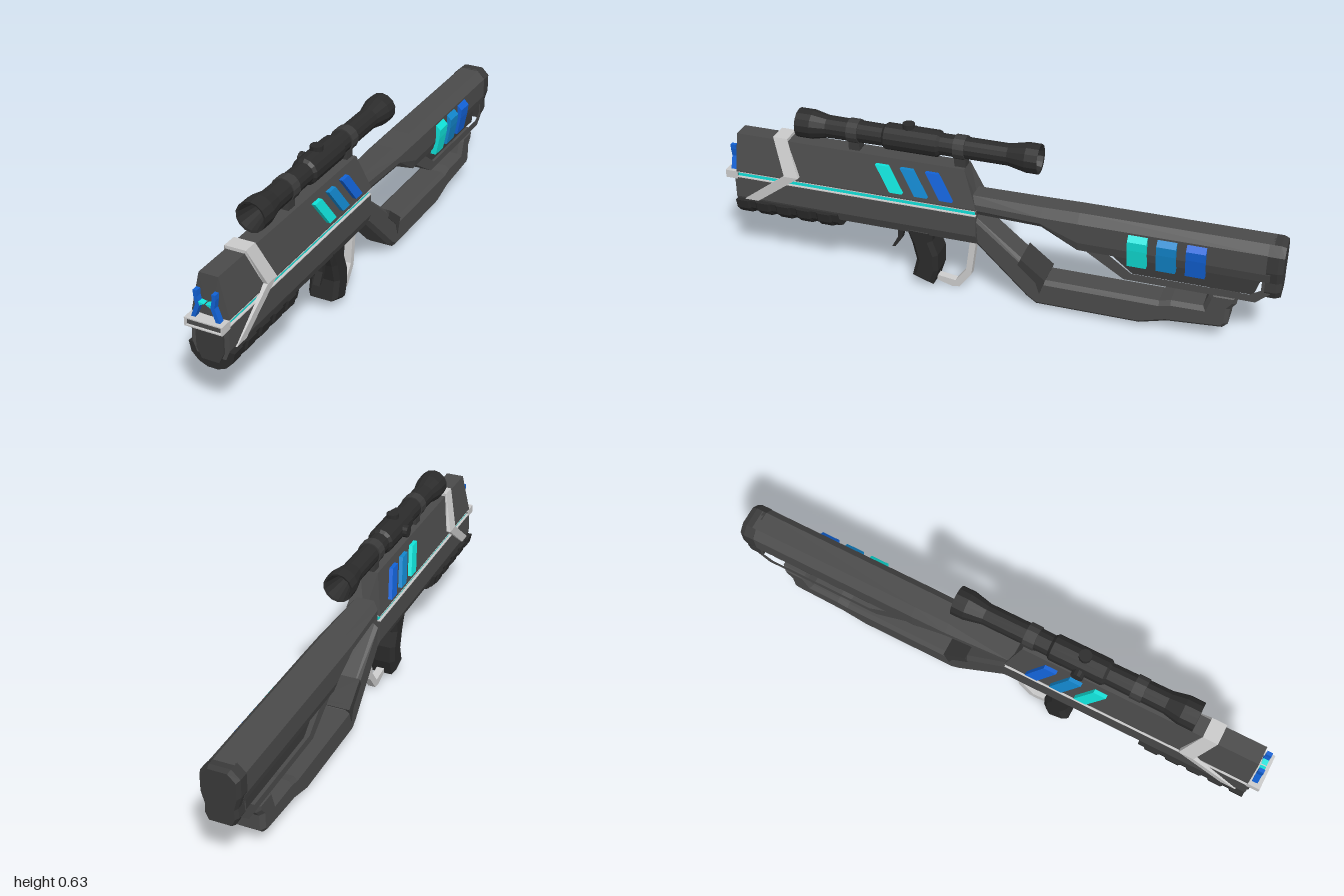
import * as THREE from 'three';

const mat = (color) => new THREE.MeshStandardMaterial({ color, flatShading: true });

export function createModel() {
  const model = new THREE.Group();
  const grey = mat(0xcccccc), body = mat(0x4b4b4b), dark = mat(0x3a3a3a), black = mat(0x2b2b2b), lens = mat(0x1c1c1c);
  const cyan = mat(0x10e2da), mid = mat(0x1286cc), blue = mat(0x1262d6);
  const accents = [cyan, mid, blue];

  const add = (name, geometry, material) => {
    const mesh = new THREE.Mesh(geometry, material);
    mesh.name = name;
    model.add(mesh);
    return mesh;
  };
  const box = (name, w, h, d, x, y, z, m) => add(name, new THREE.BoxGeometry(w, h, d).translate(x, y, z), m);
  const toShape = (pts) => new THREE.Shape(pts.map(([a, b]) => new THREE.Vector2(a, b)));

  // Side outline of [z, y] points, extruded across x with bevelled edges
  const side = (name, pts, half, m, { x = 0, bevel = 0, hole } = {}) => {
    const shape = toShape(pts);
    if (hole) shape.holes.push(toShape(hole));
    const g = new THREE.ExtrudeGeometry(shape, {
      depth: 2 * (half - bevel), bevelEnabled: bevel > 0, bevelSize: bevel,
      bevelThickness: bevel, bevelOffset: -bevel, bevelSegments: 1,
    });
    return add(name, g.translate(0, 0, bevel - half).rotateY(-Math.PI / 2).translate(x, 0, 0), m);
  };

  // Skin over rings of equal length, with end caps; winding is turned outward
  const loft = (name, rings, m) => {
    const tris = [], n = rings[0].length;
    for (let i = 0; i < rings.length - 1; i++) {
      for (let j = 0; j < n; j++) {
        const k = (j + 1) % n, a = rings[i], b = rings[i + 1];
        tris.push([a[j], a[k], b[k]], [a[j], b[k], b[j]]);
      }
    }
    const cap = (ring, flip) => {
      const c = ring.reduce((s, p) => s.add(p), new THREE.Vector3()).divideScalar(n);
      ring.forEach((p, j) => {
        const q = ring[(j + 1) % n];
        tris.push(flip ? [c, q, p] : [c, p, q]);
      });
    };
    cap(rings[0], true);
    cap(rings[rings.length - 1], false);
    const volume = tris.reduce((s, [a, b, c]) => s + a.dot(b.clone().cross(c)), 0);
    if (volume < 0) tris.forEach((t) => t.reverse());
    const g = new THREE.BufferGeometry().setFromPoints(tris.flat());
    g.computeVertexNormals();
    return add(name, g, m);
  };
  // Symmetric ring from a half section of [x, y] points; z is a number or a rule of y
  const ring = (half, z) => {
    const at = ([x, y]) => new THREE.Vector3(x, y, typeof z === 'function' ? z(y) : z);
    return [...half.map(at), ...half.map(([x, y]) => at([-x, y])).reverse()];
  };

  // Receiver with a light channel along each side
  const receiver = [[0.033, 0.505], [0.064, 0.372], [0.064, 0.366], [0.053, 0.366],
    [0.053, 0.344], [0.064, 0.344], [0.065, 0.265], [0.05, 0.228]];
  loft('receiver', [
    ring(receiver, (y) => (y > 0.4 ? 0.1 : 0.05)),
    ring(receiver, (y) => (y > 0.35 ? 0.957 : 0.965)),
  ], body);
  box('lightStrip', 0.112, 0.02, 0.9, 0, 0.355, 0.505, cyan);
  for (const s of [-1, 1]) {
    for (const y of [0.345, 0.365]) box('channelEdge', 0.012, 0.003, 0.905, s * 0.059, y, 0.503, grey);
  }

  // Sloping accent bars on both flanks
  const flank = (y) => 0.033 + (0.505 - y) * 0.233;
  accents.forEach((m, i) => {
    for (const s of [-1, 1]) {
      const bar = (y, z) => [[-0.006, 0], [0.014, 0], [0.014, -0.046], [-0.006, -0.046]]
        .map(([dx, dz]) => new THREE.Vector3(s * (flank(y) + dx), y, z + dz - i * 0.092));
      loft('accentBar', [bar(0.48, 0.42), bar(0.39, 0.362)], m);
    }
  });

  // Bent strap wrapped over the nose: [x, y, z centre]
  const strapHalf = [[0.069, 0.26, 0.905], [0.078, 0.385, 0.735], [0.037, 0.516, 0.785]];
  const strapPath = [...strapHalf, ...strapHalf.map(([x, y, z]) => [-x, y, z]).reverse()];
  loft('noseStrap', strapPath.map(([x, y, z]) => [[1, 0.027], [1, -0.027], [0.8, -0.027], [0.8, 0.027]]
    .map(([k, dz]) => new THREE.Vector3(x * k, y > 0.5 ? y - (1 - k) * 0.08 : y, z + dz))), grey);

  // Muzzle plate frame with inset
  const frame = toShape([[-0.065, 0.337], [0.065, 0.337], [0.065, 0.366], [-0.065, 0.366]]);
  frame.holes.push(toShape([[-0.06, 0.341], [0.06, 0.341], [0.06, 0.362], [-0.06, 0.362]]));
  add('muzzleFrame', new THREE.ExtrudeGeometry(frame, { depth: 0.045, bevelEnabled: false }).translate(0, 0, 0.955), grey);
  box('muzzleInset', 0.122, 0.023, 0.035, 0, 0.3515, 0.975, body);
  const nose = [[0.047, 0.325], [0.047, 0.25], [0.03, 0.215]];
  loft('lowerNose', [ring(nose, 0.93), ring(nose, 0.972)], dark);

  // Muzzle prongs and sparks
  for (const s of [-1, 1]) {
    const flat = (name, pts, m) => add(name, new THREE.ExtrudeGeometry(
      toShape(pts.map(([x, y]) => [s * x, y])), { depth: 0.02, bevelEnabled: false }).translate(0, 0, 0.965), m);
    flat('muzzleProng', [[0.036, 0.364], [0.05, 0.364], [0.033, 0.412], [0.038, 0.442],
      [0.038, 0.459], [0.025, 0.459], [0.025, 0.438], [0.019, 0.41]], blue);
    flat('muzzleSpark', [[0.002, 0.419], [0.022, 0.422], [0.019, 0.41]], cyan);
  }

  // Ribbed foregrip
  const under = [[0.08, 0.257], [0.072, 0.222], [0.048, 0.196], [0.018, 0.183]];
  const ribs = [];
  for (let i = 0; i < 5; i++) {
    for (const [dz, k] of [[0, 0.92], [0.022, 0.92], [0.028, 1], [0.073, 1]]) {
      ribs.push(ring(under.map(([x, y]) => [x * k, 0.257 + (y - 0.257) * k]), 0.57 + i * 0.08 + dz));
    }
  }
  loft('foregrip', ribs, black);

  // Pistol grip, trigger and guard
  side('pistolGrip', [[0.32, 0.25], [0.295, 0.18], [0.28, 0.115], [0.298, 0.045], [0.22, 0.018],
    [0.2, 0.08], [0.2, 0.145], [0.22, 0.2], [0.215, 0.25]], 0.056, black, { bevel: 0.015 });
  side('trigger', [[0.35, 0.24], [0.352, 0.19], [0.375, 0.148], [0.362, 0.15], [0.338, 0.185], [0.325, 0.24]],
    0.013, black, { x: 0.025 });
  side('triggerGuard', [[0.085, 0.24], [0.105, 0.085], [0.145, 0.033], [0.215, 0.043], [0.215, 0.023],
    [0.155, 0.005], [0.13, 0.01], [0.085, 0.07], [0.062, 0.24]], 0.014, grey);

  // Shoulder stock: neck, rail, recessed lower frame and butt
  const neck = [[0.033, 0.41], [0.052, 0.385], [0.052, 0.362], [0.04, 0.342]];
  const joint = [[0.036, 0.41], [0.063, 0.383], [0.063, 0.36], [0.05, 0.342]];
  const rail = [[0.036, 0.412], [0.064, 0.383], [0.064, 0.31], [0.053, 0.275]];
  loft('stockRail', [ring(neck, 0.07), ring(joint, -0.18), ring(rail, -0.31), ring(rail, -0.96)], body);
  side('stockFrame', [[-0.18, 0.35], [-0.3, 0.3], [-0.475, 0.19], [-0.92, 0.19], [-0.965, 0.23], [-0.965, 0.35]],
    0.052, body, { hole: [[-0.4, 0.29], [-0.5, 0.217], [-0.9, 0.217], [-0.935, 0.24], [-0.935, 0.29]] });
  side('stockPanel', [[-0.38, 0.3], [-0.5, 0.205], [-0.91, 0.205], [-0.94, 0.3]], 0.032, dark);
  const butt = [[0.036, 0.412], [0.066, 0.383], [0.066, 0.32], [0.053, 0.275], [0.055, 0.24], [0.042, 0.212]];
  const buttEnd = butt.map(([x, y]) => [x * 0.9, 0.32 + (y - 0.32) * 0.94]);
  loft('buttPlate', [ring(butt, -0.945), ring(butt, -0.982), ring(buttEnd, -1)], dark);

  // Accent tabs on the left of the stock
  accents.forEach((m, i) => {
    const tab = toShape([[0.05, 0.38], [0.06, 0.38], [0.082, 0.358], [0.079, 0.325], [0.066, 0.255], [0.045, 0.255]]);
    add('stockTab', new THREE.ExtrudeGeometry(tab, { depth: 0.066, bevelEnabled: false })
      .translate(0, 0, -0.551 - i * 0.099), m);
  });

  // Lower brace
  side('lowerBrace', [[0.06, 0.335], [-0.18, 0.14], [-0.2, 0.123], [-0.6, 0.123], [-0.64, 0.133], [-0.75, 0.135],
    [-0.765, 0.18], [-0.775, 0.2], [-0.865, 0.2], [-0.86, 0.165], [-0.84, 0.14], [-0.838, 0.08], [-0.82, 0.062],
    [-0.63, 0.047], [-0.535, 0.02], [-0.165, 0.02], [-0.13, 0.045], [0.06, 0.23]], 0.056, body, { bevel: 0.014 });
  side('braceCollar', [[-0.11, 0.2], [-0.185, 0.14], [-0.2, 0.128], [-0.18, 0.07], [-0.165, 0.115], [-0.1, 0.175]], 0.058, dark);

  // Scope tube, hollow at both ends; profile is [radius, z]
  const profile = [[0, 0.62], [0.022, 0.62], [0.045, 0.718], [0.052, 0.72], [0.052, 0.665], [0.04, 0.61],
    [0.038, 0.4], [0.047, 0.39], [0.047, 0.2], [0.038, 0.19], [0.038, -0.05], [0.052, -0.115],
    [0.052, -0.16], [0.045, -0.158], [0.022, -0.07], [0, -0.07]].reverse();
  const scopeY = 0.572;
  add('scopeTube', new THREE.LatheGeometry(profile.map(([r, z]) => new THREE.Vector2(r, z)), 14)
    .rotateX(Math.PI / 2).translate(0, scopeY, 0), black);
  for (const [z, s] of [[0.622, 1], [-0.072, -1]]) {
    add('scopeLens', new THREE.CircleGeometry(0.021, 14).rotateY(s > 0 ? 0 : Math.PI).translate(0, scopeY, z), lens);
  }
  const knob = () => new THREE.CylinderGeometry(0.022, 0.022, 0.03, 12);
  add('topKnob', knob().translate(0, 0.617, 0.31), black);
  add('sideKnob', knob().rotateZ(Math.PI / 2).translate(-0.047, scopeY, 0.31), black);
  for (const z of [0.51, 0.12]) {
    add('scopeRing', new THREE.CylinderGeometry(0.043, 0.043, 0.04, 14).rotateX(Math.PI / 2).translate(0, scopeY, z), dark);
    box('scopeMount', 0.04, 0.06, 0.04, 0, 0.525, z, dark);
  }
  return model;
}
